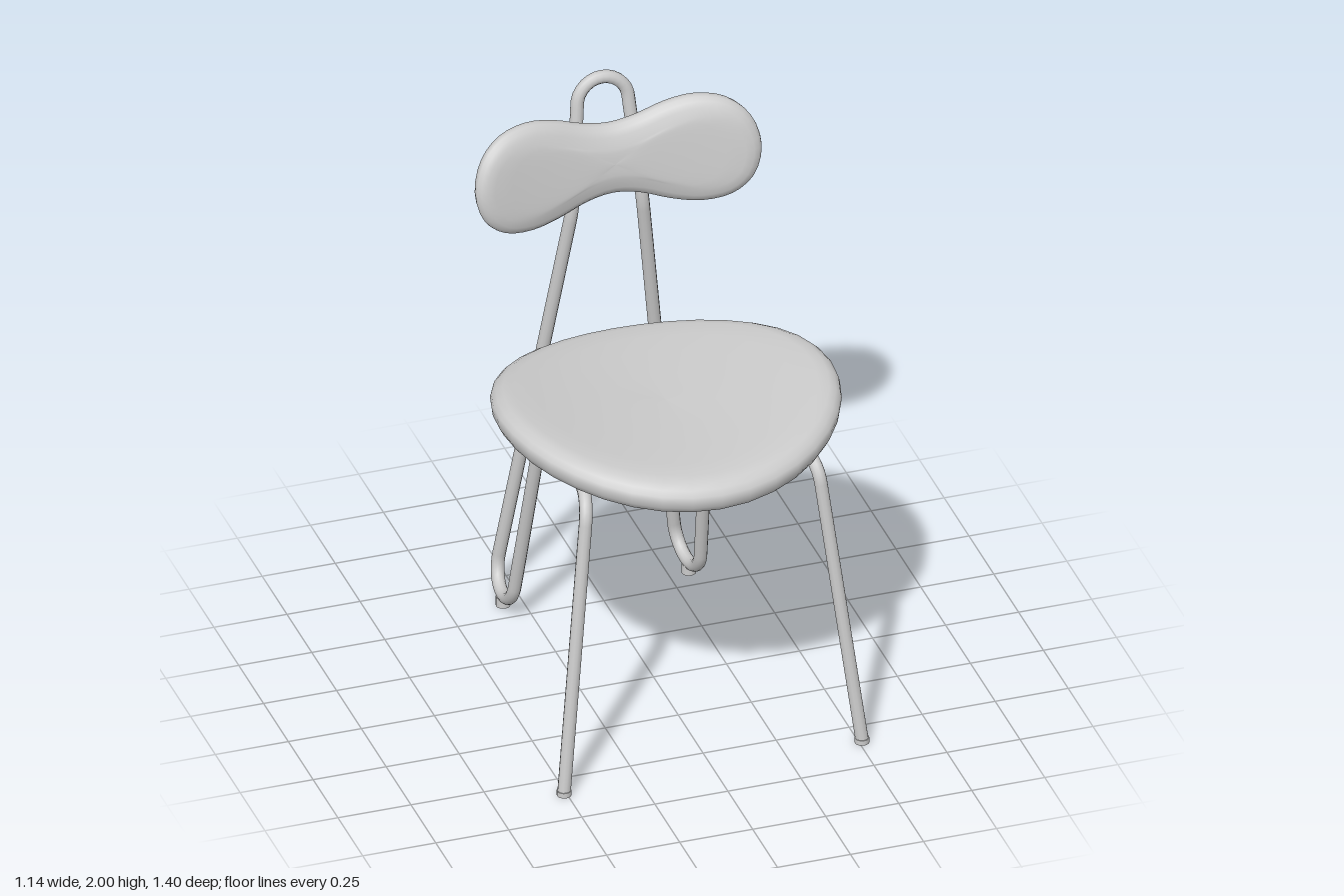
import * as THREE from 'three';

const material = new THREE.MeshStandardMaterial({ color: 0xcccccc });
const TUBE = 0.022;

// Cushion cross-section: [scale, inset from the outline, height], underside to top.
const section = [
  [0, 0.04, -1], [0.5, 0.04, -1], [0.85, 0.04, -1],
  [1, 0.04, -0.98], [1, 0.015, -0.85], [1, 0.003, -0.5], [1, 0, -0.1], [1, 0.004, 0.2],
  [1, 0.018, 0.55], [1, 0.04, 0.85], [1, 0.075, 1.05],
  [0.85, 0.075, 1.13], [0.65, 0.075, 1.18], [0.35, 0.075, 1.2], [0, 0.075, 1.2],
];

// Sweeps the section round a closed counter-clockwise outline, then places each point.
function makePad(name, outline, half, insetScale, place) {
  const n = outline.length;
  const positions = [];
  const index = [];
  for (const [s, d, h] of section) {
    outline.forEach((p, i) => {
      const a = outline[(i + n - 1) % n];
      const b = outline[(i + 1) % n];
      const len = Math.hypot(b.x - a.x, b.y - a.y);
      const inset = d * insetScale;
      const u = s * (p.x - (inset * (b.y - a.y)) / len);
      const v = s * (p.y + (inset * (b.x - a.x)) / len);
      positions.push(...place(u, v, h * half));
    });
  }
  for (let j = 0; j < section.length - 1; j++) {
    for (let i = 0; i < n; i++) {
      const a = j * n + i;
      const b = j * n + ((i + 1) % n);
      index.push(a, b, b + n, a, b + n, a + n);
    }
  }
  const geometry = new THREE.BufferGeometry();
  geometry.setAttribute('position', new THREE.Float32BufferAttribute(positions, 3));
  geometry.setIndex(index);
  geometry.computeVertexNormals();
  const mesh = new THREE.Mesh(geometry, material);
  mesh.name = name;
  return mesh;
}

// Straight runs joined by rounded corners; each corner is [x, y, z, cut length].
function roundedPath(corners) {
  const path = new THREE.CurvePath();
  const pts = corners.map(([x, y, z]) => new THREE.Vector3(x, y, z));
  let from = pts[0];
  for (let i = 1; i < pts.length - 1; i++) {
    const cut = corners[i][3];
    const toward = (q, k) => pts[i].clone().add(q.clone().sub(pts[i]).setLength(cut * k));
    const start = toward(pts[i - 1], 1);
    const end = toward(pts[i + 1], 1);
    path.add(new THREE.LineCurve3(from, start));
    path.add(new THREE.CubicBezierCurve3(start, toward(pts[i - 1], 0.45), toward(pts[i + 1], 0.45), end));
    from = end;
  }
  path.add(new THREE.LineCurve3(from, pts[pts.length - 1]));
  path.arcLengthDivisions = 1000;
  return path;
}

export function createModel() {
  const model = new THREE.Group();
  model.name = 'chair';

  // Round saddle-shaped seat, raised at the sides and tipped slightly back
  const circle = Array.from({ length: 36 }, (_, i) => {
    const a = (i / 36) * Math.PI * 2;
    return new THREE.Vector2(0.57 * Math.cos(a), 0.575 * Math.sin(a));
  });
  model.add(makePad('seat', circle, 0.055, 1, (u, v, w) =>
    [u, 1.06 + w + 0.28 * u * u - 0.037 * v, 0.125 - v]));

  // Two-lobed backrest, curved round the sitter and leaning back
  const quarter = [[0.49, 0], [0.46, 0.105], [0.39, 0.166], [0.29, 0.185], [0.19, 0.168], [0.09, 0.134], [0, 0.12]];
  const upper = [...quarter, ...quarter.slice(0, -1).reverse().map(([x, y]) => [-x, y])];
  const loop = [...upper, ...upper.slice(1, -1).reverse().map(([x, y]) => [x, -y])];
  const spline = new THREE.CatmullRomCurve3(loop.map(([x, y]) => new THREE.Vector3(x, y, 0)), true);
  const peanut = spline.getPoints(72).slice(0, 72);
  model.add(makePad('backrest', peanut, 0.036, 0.8, (u, v, w) =>
    [u, 1.725 + v, -0.425 + w + 0.32 * u * u - 0.14 * v]));

  // One continuous bent tube: front leg, seat rail, back leg, upright and top loop
  const half = [
    [0.51, 0.01, 0.6, 0],
    [0.393, 1.035, 0.492, 0.085],
    [0.277, 0.978, -0.25, 0.085],
    [0.323, 0.04, -0.486, 0.1],
    [0.312, 0.04, -0.69, 0.1],
    [0.12, 1.53, -0.464, 0.04],
    [0.08, 1.978, -0.523, 0.079],
  ];
  const corners = [...half, ...half.slice().reverse().map(([x, y, z, c]) => [-x, y, z, c])];
  const frame = new THREE.Mesh(new THREE.TubeGeometry(roundedPath(corners), 480, TUBE, 12), material);
  frame.name = 'tubeFrame';
  model.add(frame);

  // Foot pads under the front legs and rear bends
  for (const side of [1, -1]) {
    for (const [name, x, z, h] of [['frontFoot', 0.51, 0.6, 0.018], ['rearFoot', 0.318, -0.58, 0.034]]) {
      const foot = new THREE.Mesh(new THREE.CylinderGeometry(0.024, 0.024, h, 16), material);
      foot.position.set(side * x, h / 2, z);
      foot.name = name;
      model.add(foot);
    }
  }
  return model;
}
